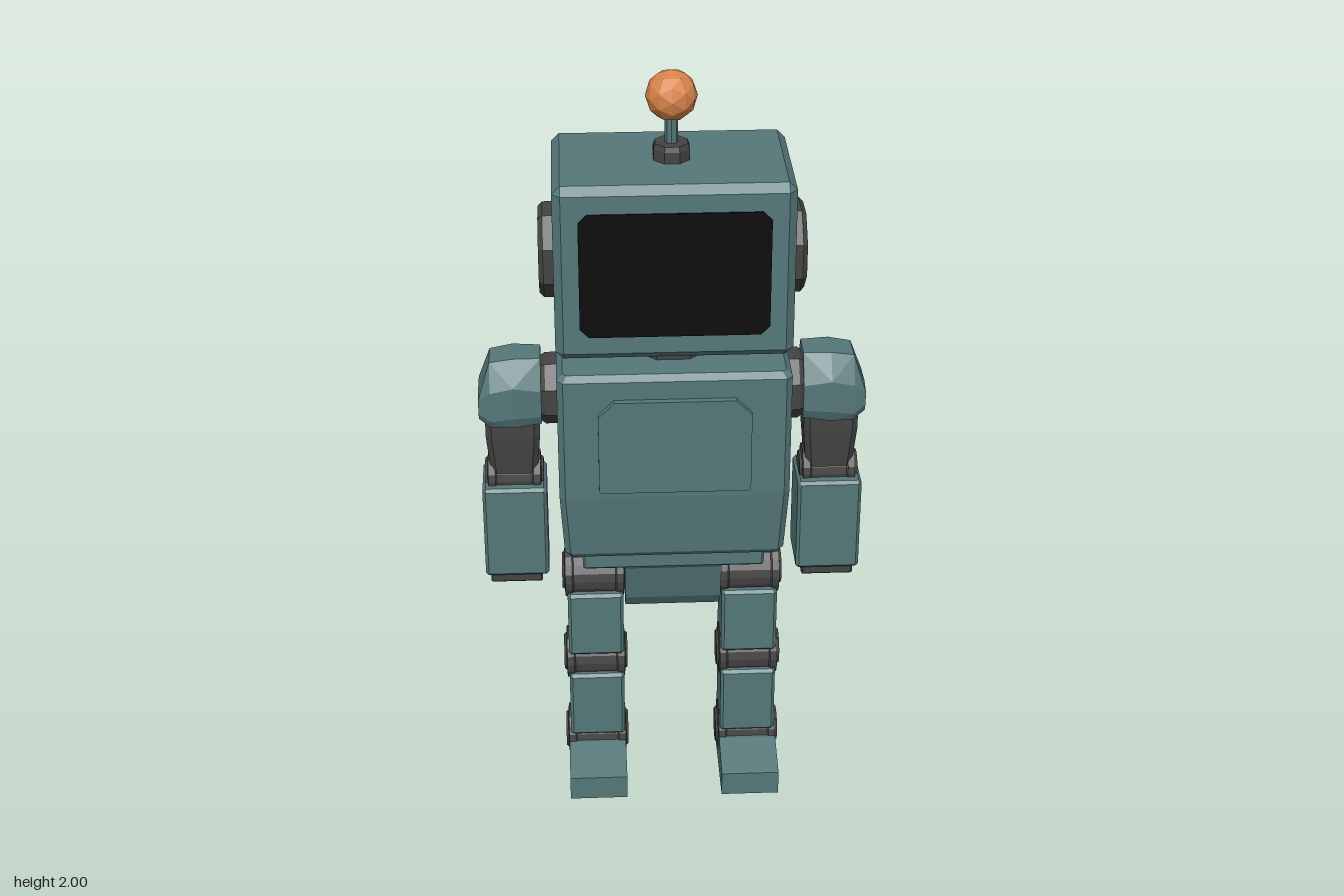
import * as THREE from 'three';
import { ConvexGeometry } from 'three/addons/geometries/ConvexGeometry.js';

const ZC = 0.011; // shared centre line of head, torso and limbs

const mat = (name, color) => {
  const m = new THREE.MeshStandardMaterial({ color, flatShading: true });
  m.name = name;
  return m;
};

export function createModel() {
  const teal = mat('teal shell', 0x557779);
  const dark = mat('dark joint', 0x444444);
  const black = mat('black screen', 0x0b0b0b);
  const orange = mat('orange bulb', 0xd9834a);

  const robot = new THREE.Group();
  robot.name = 'robot';

  const add = (name, geometry, material, parent = robot) => {
    const mesh = new THREE.Mesh(geometry, material);
    mesh.name = name;
    parent.add(mesh);
    return mesh;
  };
  const hull = pts => new ConvexGeometry(pts.map(p => new THREE.Vector3(...p)));

  // Box between two corners with every edge chamfered by c
  const chamferBox = (x0, x1, y0, y1, z0, z1, c) => {
    const pts = [];
    for (const sx of [-1, 1]) for (const sy of [-1, 1]) for (const sz of [-1, 1]) {
      const x = sx < 0 ? x0 : x1, y = sy < 0 ? y0 : y1, z = sz < 0 ? z0 : z1;
      pts.push([x, y - sy * c, z - sz * c], [x - sx * c, y, z - sz * c], [x - sx * c, y - sy * c, z]);
    }
    return hull(pts);
  };
  // Convex side profile of [z, y] points, spanning x0 to x1
  const prism = (profile, x0, x1) =>
    hull(profile.flatMap(([z, y]) => [[x0, y, z], [x1, y, z]]));
  // Flat plate with cut corners, in the xy plane
  const plateShape = (x, y0, y1, cTop, cBottom) => new THREE.Shape([
    [-x, y0 + cBottom], [-x + cBottom, y0], [x - cBottom, y0], [x, y0 + cBottom],
    [x, y1 - cTop], [x - cTop, y1], [-x + cTop, y1], [-x, y1 - cTop],
  ].map(p => new THREE.Vector2(...p)));
  const extrude = (shape, depth, z) =>
    new THREE.ExtrudeGeometry(shape, { depth, bevelEnabled: false }).translate(0, 0, z);
  // Octagonal puck along +y, flats to the sides, outer rim chamfered
  const puck = (apothem, height, segs = 8) => new THREE.LatheGeometry(
    [[0, 0], [1, 0], [1, 0.7], [0.9, 1], [0, 1]].map(([r, h]) =>
      new THREE.Vector2(r * apothem / Math.cos(Math.PI / segs), h * height)), segs)
    .rotateY(Math.PI / segs);

  // Head and screen
  add('head', chamferBox(-0.29, 0.29, 1.33, 1.78, -0.18, 0.2, 0.02), teal);
  add('screen', extrude(plateShape(0.23, 1.395, 1.715, 0.022, 0.022), 0.004, 0.2), black);
  for (const s of [-1, 1]) {
    add(s > 0 ? 'leftEar' : 'rightEar',
      puck(0.108, 0.038).rotateZ(-s * Math.PI / 2).translate(s * 0.288, 1.545, ZC), dark);
  }
  add('headBackCap', puck(0.105, 0.04).rotateX(-Math.PI / 2).translate(0, 1.545, -0.178), dark);

  // Antenna
  add('antennaBase', puck(0.044, 0.042).translate(0, 1.779, ZC), dark);
  add('antennaStem', new THREE.CylinderGeometry(0.016, 0.016, 0.1, 8).translate(0, 1.86, ZC), teal);
  add('antennaBulb', new THREE.IcosahedronGeometry(0.063, 1).translate(0, 1.938, ZC), orange);

  // Neck and torso
  add('neck', new THREE.CylinderGeometry(0.108, 0.108, 0.07, 8).rotateY(Math.PI / 8)
    .translate(0, 1.308, ZC), dark);
  const torsoPts = [];
  // rows: y, half width, half depth, corner cut
  for (const [y, w, d, c] of [[1.285, 0.275, 0.175, 0.01], [1.27, 0.29, 0.19, 0.015],
    [0.945, 0.29, 0.19, 0.015], [0.77, 0.28, 0.172, 0.015], [0.755, 0.267, 0.16, 0.01]]) {
    for (const sx of [-1, 1]) for (const sz of [-1, 1]) {
      torsoPts.push([sx * (w - c), y, ZC + sz * d], [sx * w, y, ZC + sz * (d - c)]);
    }
  }
  add('torso', hull(torsoPts), teal);
  add('chestPanel', extrude(plateShape(0.19, 0.967, 1.222, 0.04, 0.005), 0.018, 0.2), teal);

  // Slotted vent on the back
  const vent = plateShape(0.158, 0.92, 1.235, 0.006, 0.006);
  for (let i = 0; i < 5; i++) {
    const y = 0.967 + i * 0.055;
    const slot = [[-0.12, y - 0.012], [-0.12, y + 0.012], [0.12, y + 0.012], [0.12, y - 0.012]];
    vent.holes.push(new THREE.Path(slot.map(p => new THREE.Vector2(...p))));
  }
  add('backVent', extrude(vent, 0.02, -0.196), teal);

  // Pelvis
  add('waist', chamferBox(-0.235, 0.235, 0.69, 0.765, -0.105, 0.132, 0.006), teal);
  add('pelvis', prism([[0.132, 0.692], [0.1, 0.58], [0.075, 0.543], [-0.05, 0.543],
    [-0.072, 0.58], [-0.105, 0.692]], -0.125, 0.125), teal);

  // Round joint along x with bevelled ends
  const joint = (name, x0, x1, y, r, parent) => {
    const h = (x1 - x0) / 2;
    const profile = [[0, -h], [r * 0.66, -h], [r * 0.72, -h + 0.006], [r, -h + 0.008], [r, -h + 0.026],
      [r * 0.94, -h + 0.03], [r * 0.94, h - 0.03], [r, h - 0.026], [r, h - 0.008],
      [r * 0.72, h - 0.006], [r * 0.66, h], [0, h]];
    const g = new THREE.LatheGeometry(profile.map(p => new THREE.Vector2(...p)), 18);
    add(name, g.rotateZ(Math.PI / 2).translate((x0 + x1) / 2, y, ZC), dark, parent);
  };

  for (const s of [-1, 1]) {
    const side = s > 0 ? 'left' : 'right';
    // Span mirrored to this side
    const span = (a, b) => (s > 0 ? [a, b] : [-b, -a]);

    // Arm
    const arm = new THREE.Group();
    arm.name = side + 'Arm';
    robot.add(arm);
    add('shoulderHub', puck(0.084, 0.045).rotateZ(-s * Math.PI / 2).translate(s * 0.288, 1.162, ZC), dark, arm);
    const shoulder = [];
    // rows: x, bottom, side low, side high, top, half depth
    for (const [x, b, lo, hi, t, d] of [[0.33, 1.095, 1.12, 1.19, 1.265, 0.078],
      [0.4, 1.088, 1.12, 1.205, 1.267, 0.088], [0.458, 1.088, 1.11, 1.19, 1.257, 0.082],
      [0.488, 1.11, 1.13, 1.165, 1.18, 0.072]]) {
      for (const sz of [-1, 1]) {
        shoulder.push([s * x, b, ZC + sz * d * 0.85], [s * x, lo, ZC + sz * d],
          [s * x, hi, ZC + sz * d], [s * x, t, ZC + sz * d * 0.5]);
      }
    }
    add('shoulder', hull(shoulder), teal, arm);
    const upper = [];
    for (const [y, w, d] of [[1.12, 0.069, 0.06], [1.05, 0.069, 0.06], [0.92, 0.058, 0.047]]) {
      for (const sx of [-1, 1]) for (const sz of [-1, 1]) {
        upper.push([s * 0.405 + sx * w, y, ZC + sz * (d - 0.015)],
          [s * 0.405 + sx * (w - 0.015), y, ZC + sz * d]);
      }
    }
    add('upperArm', hull(upper), dark, arm);
    joint('elbow', ...span(0.33, 0.48), 0.92, 0.057, arm);
    add('forearm', chamferBox(...span(0.323, 0.488), 0.65, 0.91, -0.066, 0.091, 0.008), teal, arm);
    add('hand', chamferBox(...span(0.34, 0.475), 0.622, 0.67, -0.052, 0.075, 0.004), dark, arm);

    // Leg
    const leg = new THREE.Group();
    leg.name = side + 'Leg';
    robot.add(leg);
    joint('hip', ...span(0.12, 0.29), 0.615, 0.07, leg);
    joint('knee', ...span(0.12, 0.29), 0.355, 0.07, leg);
    joint('ankle', ...span(0.12, 0.29), 0.097, 0.07, leg);
    add('thigh', chamferBox(...span(0.13, 0.277), 0.39, 0.58, -0.062, 0.087, 0.008), teal, leg);
    add('shin', chamferBox(...span(0.13, 0.277), 0.128, 0.325, -0.062, 0.087, 0.008), teal, leg);
    add('foot', prism([[0.2, 0], [0.2, 0.068], [0.085, 0.102], [0.0, 0.102], [-0.08, 0.07], [-0.08, 0]],
      ...span(0.128, 0.282)), teal, leg);
  }
  return robot;
}
